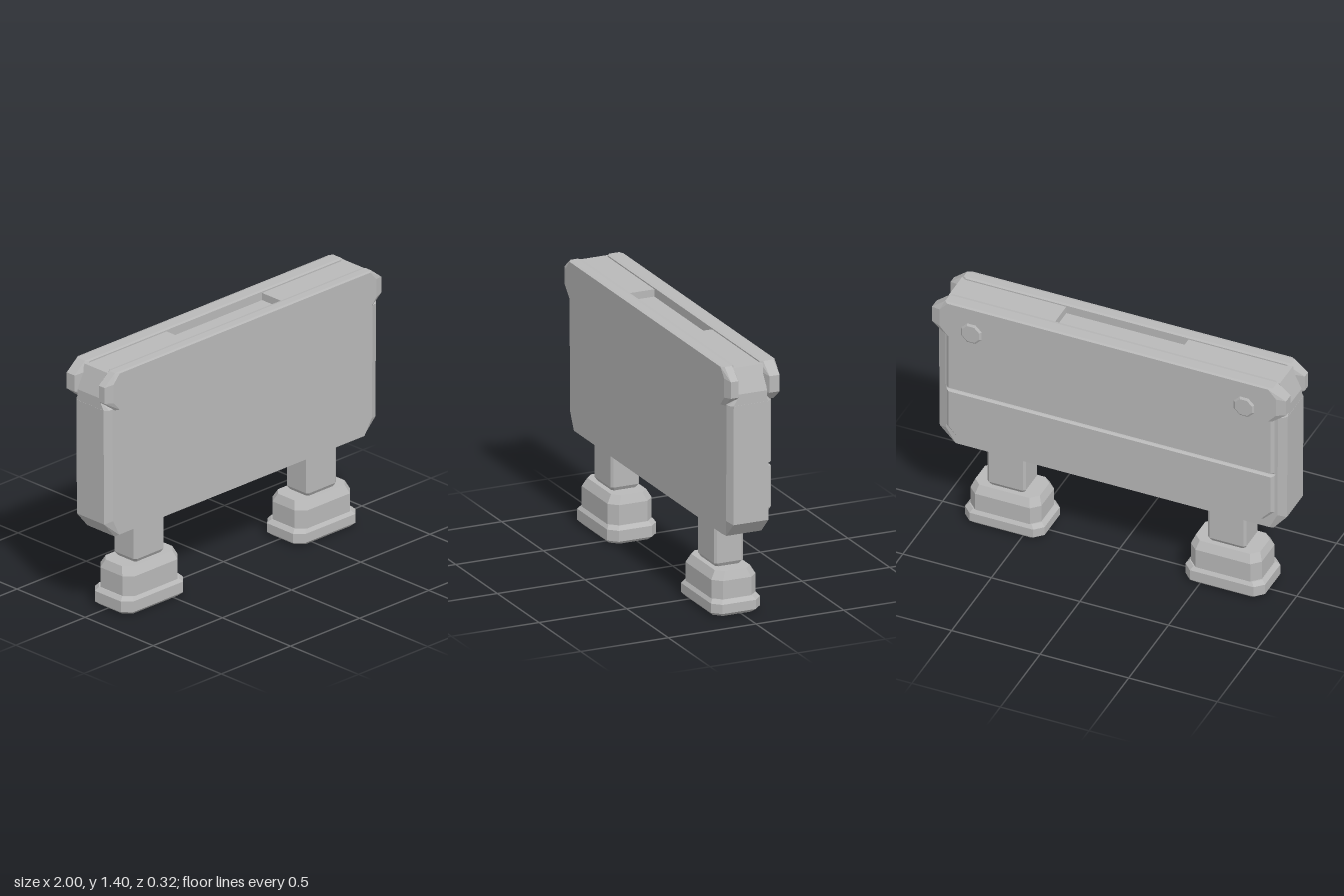
import * as THREE from 'three';

const grey = new THREE.MeshStandardMaterial({ color: 0xb8b8b8 });
grey.name = 'stoneGrey';

// Joins matching counter-clockwise convex outlines, given as [depth, points], into a solid along z
function loft(levels) {
  const pos = [];
  const n = levels[0][1].length;
  const at = (l, i) => [...levels[l][1][i % n], levels[l][0]];
  const tri = (a, b, c) => pos.push(...a, ...b, ...c);
  for (let l = 0; l < levels.length - 1; l++) {
    for (let i = 0; i < n; i++) {
      tri(at(l, i), at(l, i + 1), at(l + 1, i + 1));
      tri(at(l, i), at(l + 1, i + 1), at(l + 1, i));
    }
  }
  const top = levels.length - 1;
  for (let i = 1; i < n - 1; i++) {
    tri(at(0, 0), at(0, i + 1), at(0, i));
    tri(at(top, 0), at(top, i), at(top, i + 1));
  }
  const g = new THREE.BufferGeometry();
  g.setAttribute('position', new THREE.Float32BufferAttribute(pos, 3));
  g.computeVertexNormals();
  return g;
}

// Rectangle with cut corners: half sizes w, h and corner cuts cx, cy
const cutRect = (w, h, cx, cy) => [
  [w, -h + cy], [w, h - cy], [w - cx, h], [-w + cx, h],
  [-w, h - cy], [-w, -h + cy], [-w + cx, -h], [w - cx, -h],
];

// Upright solid from [y, halfX, halfZ, cornerCut] levels
const upright = (levels) =>
  loft(levels.map(([y, w, d, c]) => [y, cutRect(w, d, c, c)])).rotateX(-Math.PI / 2);

export function createModel() {
  const model = new THREE.Group();
  model.name = 'standingPanel';
  const add = (name, geometry, x = 0, y = 0, z = 0, parent = model) => {
    const mesh = new THREE.Mesh(geometry, grey);
    mesh.name = name;
    mesh.position.set(x, y, z);
    parent.add(mesh);
    return mesh;
  };

  // Main slab, with bevelled sides and cut lower corners
  const slabOutline = (inX, inY) => [
    [0.985 - inX, 1.2], [-0.985 + inX, 1.2],
    [-0.98 + inX, 0.555 + inY], [-0.905 + inX * 0.3, 0.465 + inY],
    [0.895 - inX * 0.3, 0.465 + inY], [0.98 - inX, 0.55 + inY],
  ];
  add('slab', loft([
    [-0.1, slabOutline(0.045, 0.012)], [-0.08, slabOutline(0, 0)],
    [0.12, slabOutline(0, 0)], [0.14, slabOutline(0.045, 0.012)],
  ]));

  // Shoulder narrowing from the slab to the core between the rails
  add('shoulder', upright([[1.199, 0.984, 0.12, 0.02], [1.24, 0.984, 0.08, 0.005]]), 0, 0, 0.02);

  // Core with a shallow tray sunk into its top
  const core = new THREE.Shape();
  [[-0.984, 1.2], [0.984, 1.2], [0.984, 1.26], [0.935, 1.39], [0.34, 1.39], [0.34, 1.35],
    [-0.35, 1.35], [-0.35, 1.39], [-0.935, 1.39], [-0.984, 1.26]]
    .forEach(([x, y], i) => (i ? core.lineTo(x, y) : core.moveTo(x, y)));
  add('core', new THREE.ExtrudeGeometry(core, { depth: 0.17, bevelEnabled: false }), 0, 0, -0.07);

  // Top rails, front and back
  const railEdge = cutRect(1, 0.105, 0.075, 0.06);
  const railFace = cutRect(0.95, 0.102, 0.045, 0.05);
  const rail = (d) => loft([[-d, railFace], [-d + 0.015, railEdge], [d - 0.015, railEdge], [d, railFace]]);
  add('frontRail', rail(0.036), 0, 1.295, 0.122);
  add('backRail', rail(0.044), 0, 1.295, -0.106);

  // Octagonal bolts on the back rail
  const octagon = (r) => cutRect(r, r, r * 0.586, r * 0.586);
  for (const side of [-1, 1]) {
    add('bolt', loft([[-0.16, octagon(0.048)], [-0.152, octagon(0.058)], [-0.14, octagon(0.058)]]),
      side * 0.77, 1.248, 0);
  }

  // Two raised panels on the back
  const panel = (bottom, top, cut) => {
    const outline = (i) => [
      [0.925 - i, top - i / 3], [-0.925 + i, top - i / 3],
      [-0.925 + i, bottom + cut + i / 3], [-0.925 + cut + i * 0.6, bottom + i / 3],
      [0.925 - cut - i * 0.6, bottom + i / 3], [0.925 - i, bottom + cut + i / 3],
    ];
    return loft([[-0.128, outline(0.015)], [-0.115, outline(0)], [-0.095, outline(0)]]);
  };
  add('upperBackPanel', panel(0.838, 1.195, 0.006));
  add('lowerBackPanel', panel(0.535, 0.825, 0.06));

  // Legs: base, block and stem
  for (const [name, x, seam, top] of [['rightLeg', -0.63, 0.1, 0.255], ['leftLeg', 0.615, 0.09, 0.235]]) {
    const leg = new THREE.Group();
    leg.name = name;
    leg.position.set(x, 0, 0.02);
    add('footBase', upright([
      [0, 0.2, 0.12, 0.04], [0.02, 0.225, 0.14, 0.045],
      [seam - 0.02, 0.225, 0.14, 0.045], [seam, 0.205, 0.125, 0.04],
    ]), 0, 0, 0, leg);
    add('footBlock', upright([
      [seam - 0.005, 0.2, 0.126, 0.045], [top - 0.045, 0.2, 0.126, 0.045],
      [top, 0.182, 0.1, 0.04],
    ]), 0, 0, 0, leg);
    add('stem', upright([
      [top - 0.01, 0.09, 0.065, 0.012], [top + 0.02, 0.108, 0.082, 0.012], [0.48, 0.108, 0.082, 0.012],
    ]), 0, 0, 0, leg);
    model.add(leg);
  }

  return model;
}
